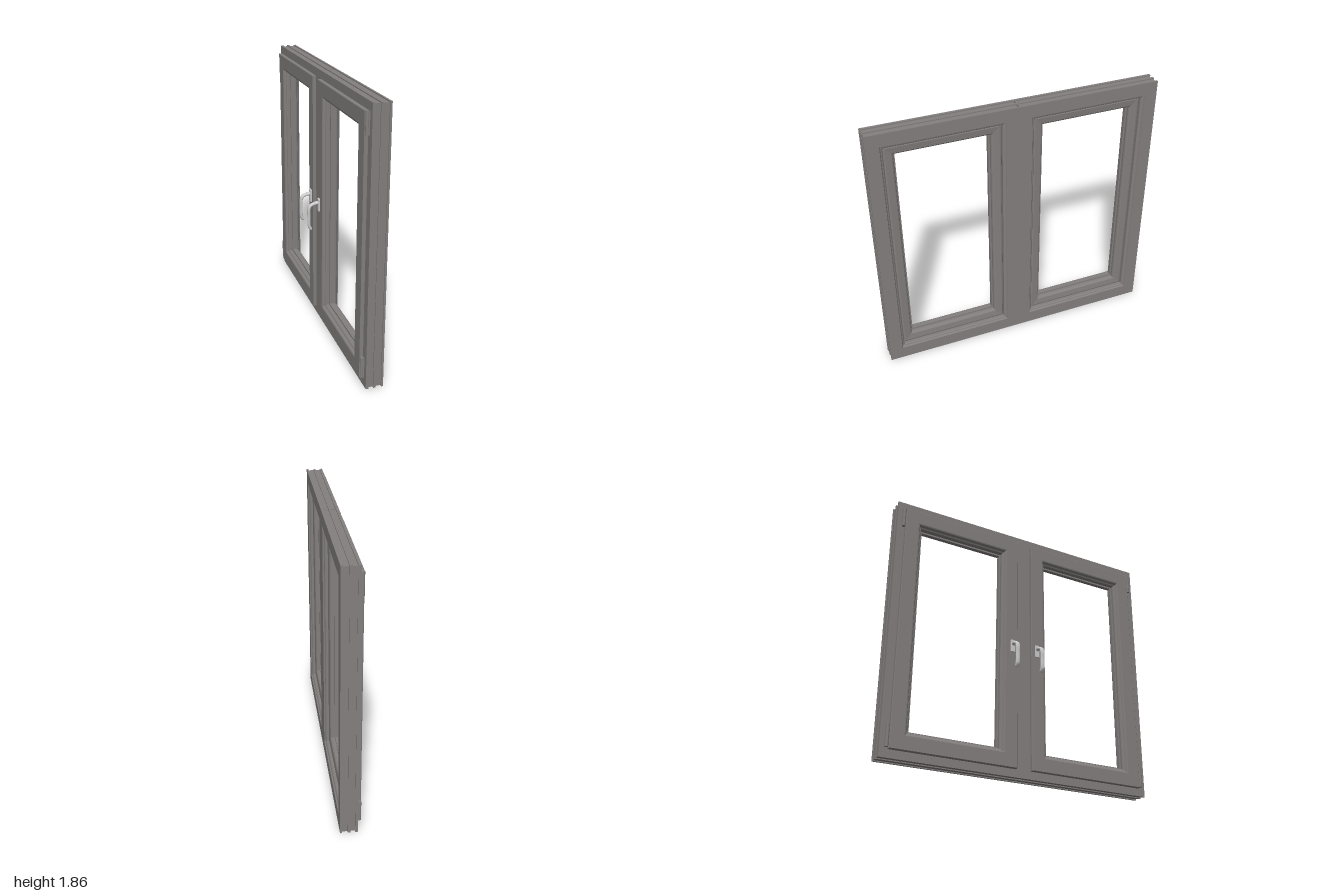
import * as THREE from 'three';
import { RoundedBoxGeometry } from 'three/addons/geometries/RoundedBoxGeometry.js';

const H = 1.86;

// Sweeps a closed profile of [inset, x] points round a rectangle with mitred corners.
function mitredRing(profile, z0, z1, y0, y1) {
  const corner = (k, [d, x]) => [
    x,
    k < 2 ? y0 + d : y1 - d,
    k === 0 || k === 3 ? z0 + d : z1 - d,
  ];
  const pos = [];
  for (let k = 0; k < 4; k++) {
    const n = (k + 1) % 4;
    profile.forEach((p, i) => {
      const q = profile[(i + 1) % profile.length];
      const a = corner(k, p), b = corner(n, p), c = corner(n, q), d = corner(k, q);
      pos.push(...a, ...b, ...c, ...a, ...c, ...d);
    });
  }
  const geo = new THREE.BufferGeometry();
  geo.setAttribute('position', new THREE.Float32BufferAttribute(pos, 3));
  geo.computeVertexNormals();
  return geo;
}

// Fixed frame: rebate for the sash inside, two grooves round the outside
const FRAME = [
  [0, -0.005], [0.07, -0.005], [0.07, 0.05], [0.11, 0.055], [0.11, 0.094],
  [0.105, 0.1], [0.096, 0.103], [0.092, 0.108], [0.09, 0.113], [0, 0.113],
  [0, 0.1], [0.007, 0.1], [0.007, 0.062], [0, 0.062],
  [0, 0.046], [0.007, 0.046], [0.007, 0.014], [0, 0.014],
];

// Opening sash: overlapping inner lip, glazing groove and rounded bead
const SASH = [
  [0.055, -0.026], [0.059, -0.03], [0.15, -0.03], [0.158, -0.027], [0.162, -0.02],
  [0.166, -0.012], [0.175, -0.008], [0.18, 0], [0.18, 0.018], [0.192, 0.018],
  [0.192, 0.045], [0.18, 0.045], [0.18, 0.062], [0.176, 0.071], [0.168, 0.077],
  [0.125, 0.082], [0.115, 0.079], [0.112, 0.073], [0.112, 0.058], [0.078, 0.048],
  [0.078, -0.007], [0.055, -0.007],
];

function makeHandle(mat) {
  const g = new THREE.Group();
  g.name = 'handle';
  const add = (name, geo, x, y) => {
    const m = new THREE.Mesh(geo, mat);
    m.name = name;
    m.position.set(x, y, 0);
    g.add(m);
    return m;
  };
  add('handlePlate', new RoundedBoxGeometry(0.014, 0.094, 0.034, 3, 0.005), -0.036, 0.93);
  const neck = add('handleNeck', new THREE.CylinderGeometry(0.012, 0.014, 0.03, 20), -0.052, 0.945);
  neck.rotation.z = Math.PI / 2;

  // Lever: leaves the neck, turns down and hooks back slightly at the tip
  const path = new THREE.CatmullRomCurve3([
    [-0.05, 0.945], [-0.08, 0.938], [-0.1, 0.925], [-0.108, 0.9],
    [-0.108, 0.85], [-0.108, 0.795], [-0.105, 0.773], [-0.096, 0.758],
  ].map(([x, y]) => new THREE.Vector3(x, y, 0)));
  const lever = add('handleLever', new THREE.TubeGeometry(path, 40, 0.011, 14), 0, 0);
  lever.scale.z = 1.5;
  for (const t of [0, 1]) {
    const p = path.getPoint(t);
    add('handleTip', new THREE.SphereGeometry(0.011, 14, 10), p.x, p.y).scale.z = 1.5;
  }
  return g;
}

export function createModel() {
  const model = new THREE.Group();
  model.name = 'doubleWindow';
  const plastic = new THREE.MeshStandardMaterial({ color: 0x837f7e });
  const metal = new THREE.MeshStandardMaterial({ color: 0xcccccc });

  // Two mirrored casements side by side
  for (const s of [-1, 1]) {
    const unit = new THREE.Group();
    unit.name = s > 0 ? 'frontCasement' : 'backCasement';
    const z0 = s > 0 ? 0 : -1;
    for (const [name, profile] of [['frame', FRAME], ['sash', SASH]]) {
      const m = new THREE.Mesh(mitredRing(profile, z0, z0 + 1, 0, H), plastic);
      m.name = name;
      unit.add(m);
    }

    const handle = makeHandle(metal);
    handle.position.z = s * 0.098;
    unit.add(handle);

    // Hinges on the outer stile: a knuckle and its leaf
    for (const y of [0.138, 1.732]) {
      const hinge = new THREE.Group();
      hinge.name = 'hinge';
      const knuckle = new THREE.Mesh(new THREE.CylinderGeometry(0.011, 0.011, 0.146, 18), plastic);
      knuckle.name = 'hingeKnuckle';
      knuckle.position.x = -0.019;
      const leaf = new THREE.Mesh(new THREE.BoxGeometry(0.012, 0.14, 0.018), plastic);
      leaf.name = 'hingeLeaf';
      leaf.position.x = -0.01;
      hinge.add(knuckle, leaf);
      hinge.position.set(0, y, s * 0.957);
      unit.add(hinge);
    }
    model.add(unit);
  }
  return model;
}
